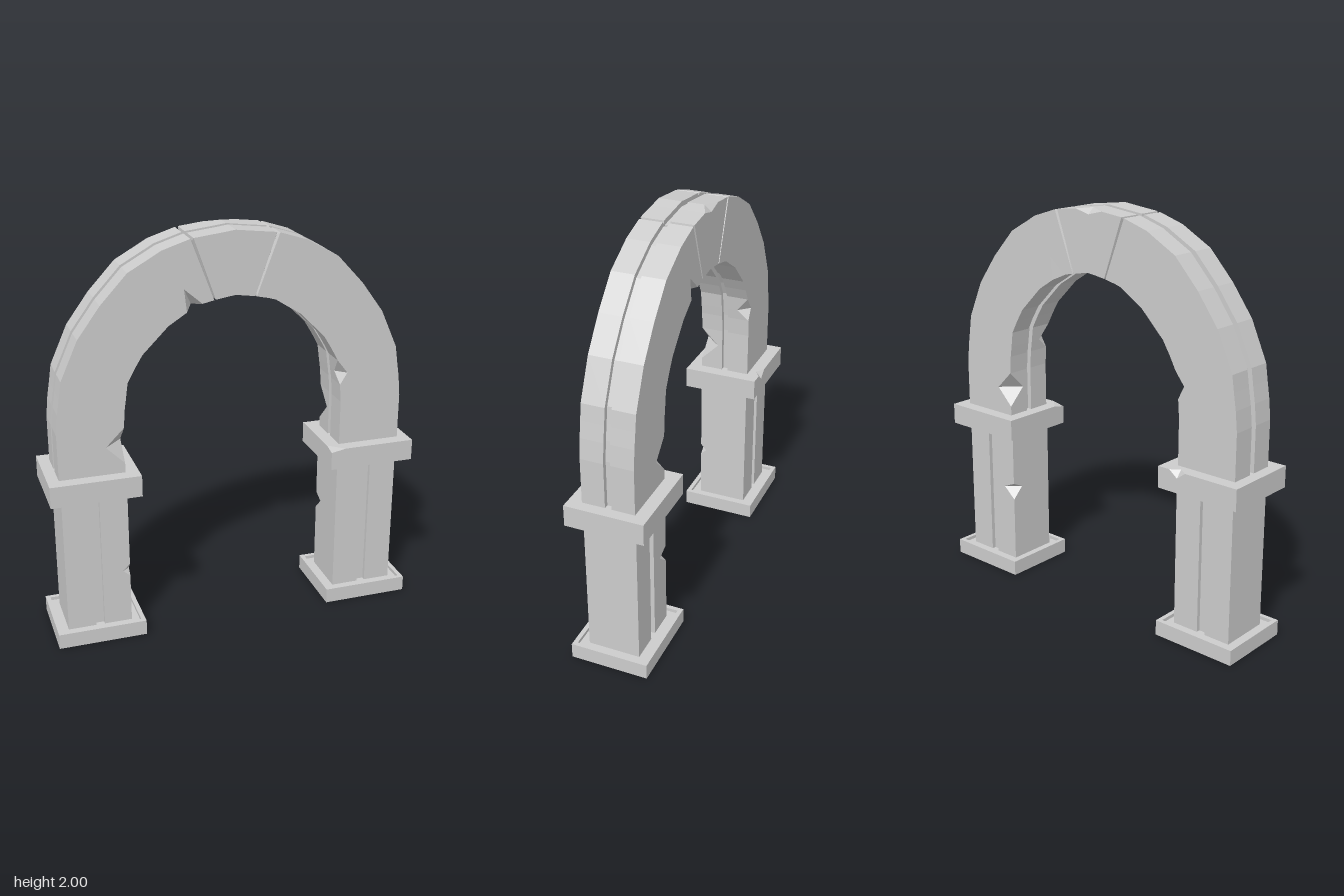
import * as THREE from 'three';

const stone = new THREE.MeshStandardMaterial({ color: 0xcccccc, flatShading: true });

// Rectangular section (a: lo..hi, b: -h..h) with a slot of half width g and depth d in both a-sides.
// A chip [da, db] cuts one of the corners: hiPos, hiNeg, loNeg, loPos.
function section(lo, hi, h, g, d, chips = {}) {
  const { hiPos = [0, 0], hiNeg = [0, 0], loNeg = [0, 0], loPos = [0, 0] } = chips;
  return [
    [hi - hiPos[0], h], [hi, h - hiPos[1]],
    [hi, g], [hi - d, g], [hi - d, -g], [hi, -g],
    [hi, -h + hiNeg[1]], [hi - hiNeg[0], -h],
    [lo + loNeg[0], -h], [lo, -h + loNeg[1]],
    [lo, -g], [lo + d, -g], [lo + d, g], [lo, g],
    [lo, h - loPos[1]], [lo + loPos[0], h],
  ];
}

// Closed faceted solid through a row of equal-length rings of Vector3.
function loft(name, rings) {
  const tris = [];
  const n = rings[0].length;
  const ab = new THREE.Vector3(), ac = new THREE.Vector3();
  const add = (a, b, c) => {
    ab.subVectors(b, a);
    ac.subVectors(c, a);
    if (ab.cross(ac).lengthSq() > 1e-14) tris.push([a, b, c]);
  };
  for (let i = 0; i < rings.length - 1; i++) {
    for (let j = 0; j < n; j++) {
      const k = (j + 1) % n;
      const p = rings[i], q = rings[i + 1];
      add(p[j], p[k], q[k]);
      add(p[j], q[k], q[j]);
    }
  }
  const first = rings[0], last = rings[rings.length - 1];
  for (let j = 1; j < n - 1; j++) {
    add(first[0], first[j + 1], first[j]);
    add(last[0], last[j], last[j + 1]);
  }
  // Signed volume decides whether the winding must be turned outward
  const volume = tris.reduce((s, [a, b, c]) => s + a.dot(ab.crossVectors(b, c)), 0);
  const points = tris.flatMap(([a, b, c]) => (volume < 0 ? [a, c, b] : [a, b, c]));
  const geometry = new THREE.BufferGeometry().setFromPoints(points);
  geometry.computeVertexNormals();
  const mesh = new THREE.Mesh(geometry, stone);
  mesh.name = name;
  return mesh;
}

// Half of the arch from springing to crown: outer x, y, inner x, y, extras.
// Chips on the left front repeat on the right back (A) and the reverse (B).
const archStations = [
  [0.87, 0.86, 0.55, 0.86],
  [0.87, 0.92, 0.55, 0.92],
  [0.87, 1.01, 0.55, 1.01, { A: [0.09, 0.09] }],
  [0.87, 1.10, 0.55, 1.10],
  [0.86, 1.20, 0.543, 1.19],
  [0.847, 1.28, 0.535, 1.245, { B: [0.045, 0.06] }],
  [0.835, 1.36, 0.525, 1.32],
  [0.75, 1.55, 0.49, 1.385],
  [0.64, 1.70, 0.45, 1.45],
  [0.51, 1.84, 0.325, 1.575],
  [0.39, 1.907, 0.235, 1.632],
  [0.35, 1.93, 0.20, 1.655, { A: [0.1, 0.06] }],
  [0.30, 1.946, 0.16, 1.667],
  [0.215, 1.973, 0.104, 1.679],
  [0.207, 1.975, 0.10, 1.68, { seam: 0.015 }],
  [0.20, 1.976, 0.096, 1.681],
  [0.08, 1.99, 0.04, 1.69],
];

function archRing([ox, oy, ix, iy, extra = {}], side) {
  const { A, B, seam = 0, top } = extra;
  const inner = new THREE.Vector3(side * ix, iy, 0);
  const dir = new THREE.Vector3(side * ox, oy, 0).sub(inner);
  const length = dir.length();
  dir.normalize();
  const chips = side < 0 ? { loPos: A, loNeg: B } : { loPos: B, loNeg: A };
  chips.hiNeg = top;
  return section(seam, length - seam, 0.13 - seam, 0.016, 0.024, chips)
    .map(([a, b]) => inner.clone().addScaledVector(dir, a).setZ(b));
}

function makeArch() {
  const crown = [0, 2, 0, 1.695, { top: [0.03, 0.035] }];
  return loft('arch', [
    ...archStations.map((s) => archRing(s, -1)),
    archRing(crown, 1),
    ...[...archStations].reverse().map((s) => archRing(s, 1)),
  ]);
}

// Upright shaft, slotted front and back; stations are [y, chips]
function makePillar(name, cx, stations) {
  return loft(name, stations.map(([y, chips]) =>
    section(-0.13, 0.13, 0.16, 0.022, 0.02, chips)
      .map(([a, b]) => new THREE.Vector3(cx + b, y, a))));
}

// Capital slab, built along x; stations are [x, chips]
function makeCapital(name, stations) {
  return loft(name, stations.map(([x, chips]) =>
    section(0.765, 0.872, 0.195, 0, 0, chips)
      .map(([a, b]) => new THREE.Vector3(x, a, b))));
}

// Plinth with a thin raised rim around its top
function makeBase(name, cx) {
  const group = new THREE.Group();
  group.name = name;
  const slab = new THREE.Mesh(new THREE.BoxGeometry(0.44, 0.06, 0.39), stone);
  slab.name = 'slab';
  slab.position.y = 0.03;
  const rect = (path, x, z) => path.moveTo(-x, -z).lineTo(x, -z).lineTo(x, z).lineTo(-x, z).closePath();
  const shape = rect(new THREE.Shape(), 0.22, 0.195);
  shape.holes.push(rect(new THREE.Path(), 0.198, 0.173));
  const rim = new THREE.Mesh(
    new THREE.ExtrudeGeometry(shape, { depth: 0.017, bevelEnabled: false }), stone);
  rim.name = 'rim';
  rim.rotation.x = -Math.PI / 2;
  rim.position.y = 0.06;
  group.add(slab, rim);
  group.position.x = cx;
  return group;
}

export function createModel() {
  const model = new THREE.Group();
  model.name = 'stoneArch';
  const cx = 0.705;

  model.add(
    makeArch(),
    makePillar('rightPillar', -cx, [
      [0.05], [0.31], [0.34, { hiPos: [0.03, 0.035] }], [0.375], [0.78],
    ]),
    makePillar('leftPillar', cx, [
      [0.05], [0.40], [0.46, { loNeg: [0.06, 0.07] }], [0.49], [0.78],
    ]),
    makeCapital('rightCapital', [
      [-0.925], [-0.64], [-0.595, { hiNeg: [0.035, 0.03] }], [-0.55], [-0.485],
    ]),
    makeCapital('leftCapital', [
      [0.485, { hiPos: [0.014, 0.065] }], [0.56], [0.925],
    ]),
    makeBase('rightBase', -cx),
    makeBase('leftBase', cx),
  );
  return model;
}
